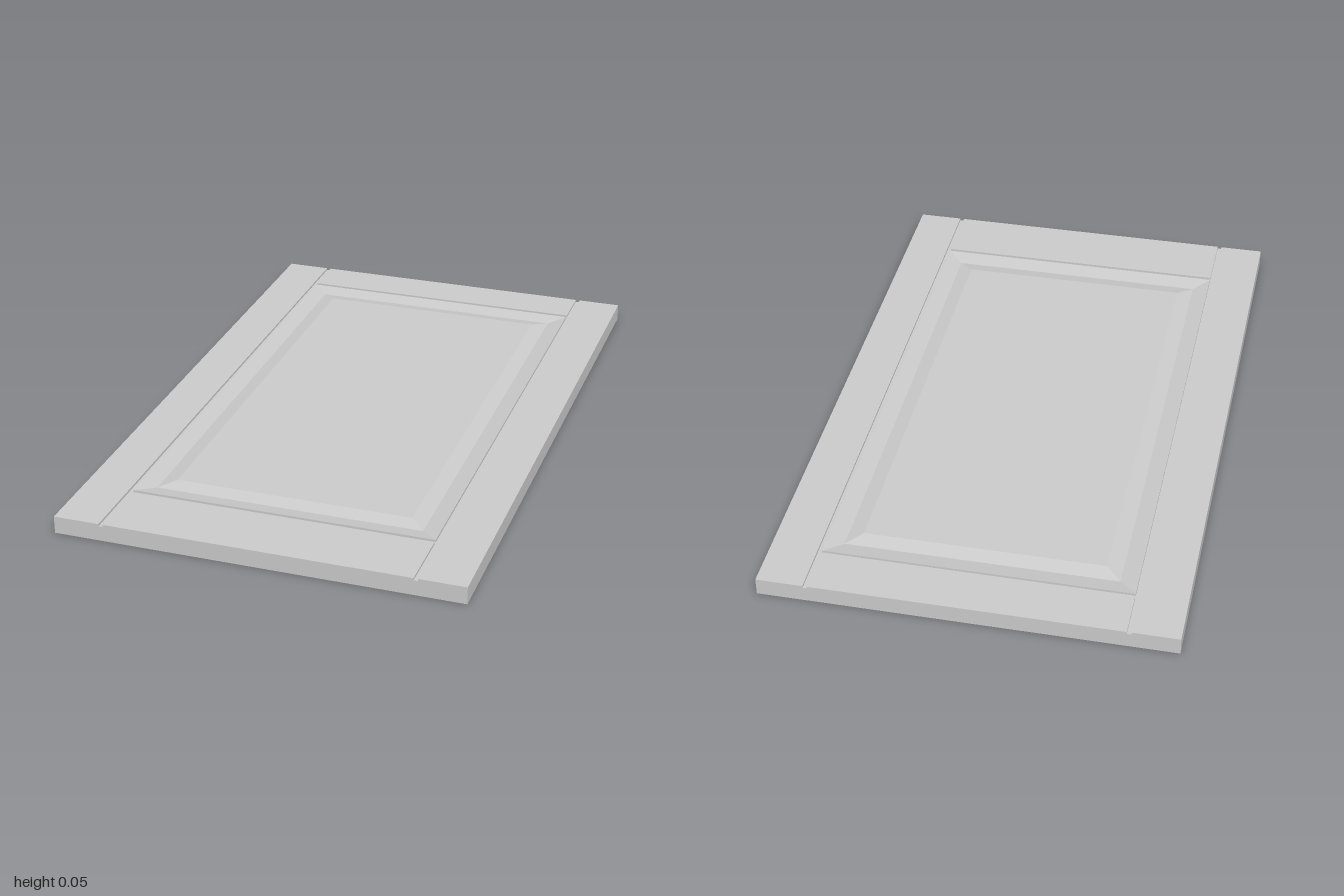
import * as THREE from 'three';

const material = new THREE.MeshStandardMaterial({ color: 0xcccccc, flatShading: true });

const HALF_W = 0.62, HALF_L = 1, TOP = 0.054;
const GROOVE = 0.013, GROOVE_FLOOR = 0.047;
// Edges of the raised panel, enclosed by the grooves
const PANEL_X = 0.466, PANEL_BACK = -0.842, PANEL_FRONT = 0.784;

export function createModel() {
  const group = new THREE.Group();
  group.name = 'cabinetDoor';

  const add = (name, geometry) => {
    const mesh = new THREE.Mesh(geometry, material);
    mesh.name = name;
    group.add(mesh);
    return mesh;
  };
  // Slab standing on y = 0 between the given x and z limits
  const slab = (name, x0, x1, z0, z1, height) =>
    add(name, new THREE.BoxGeometry(x1 - x0, height, z1 - z0))
      .position.set((x0 + x1) / 2, height / 2, (z0 + z1) / 2);

  // Stiles, with a groove running the whole length beside each
  const stileX = PANEL_X + GROOVE;
  slab('leftStile', stileX, HALF_W, -HALF_L, HALF_L, TOP);
  slab('rightStile', -HALF_W, -stileX, -HALF_L, HALF_L, TOP);
  slab('leftGroove', PANEL_X, stileX, -HALF_L, HALF_L, GROOVE_FLOOR);
  slab('rightGroove', -stileX, -PANEL_X, -HALF_L, HALF_L, GROOVE_FLOOR);

  // Rails, with a groove between each and the panel
  slab('backRail', -PANEL_X, PANEL_X, -HALF_L, PANEL_BACK - GROOVE, TOP);
  slab('frontRail', -PANEL_X, PANEL_X, PANEL_FRONT + GROOVE, HALF_L, TOP);
  slab('backGroove', -PANEL_X, PANEL_X, PANEL_BACK - GROOVE, PANEL_BACK, GROOVE_FLOOR);
  slab('frontGroove', -PANEL_X, PANEL_X, PANEL_FRONT, PANEL_FRONT + GROOVE, GROOVE_FLOOR);

  // Panel: slopes down to a mitred valley, then up to the flat field
  add('raisedPanel', panelGeometry([[0, 0], [0, TOP], [0.053, TOP - 0.01], [0.1, TOP]]));
  return group;
}

// Lofts rectangular rings, each given as [inset, height], and caps both ends
function panelGeometry(profile) {
  const rings = profile.map(([d, y]) => {
    const x = PANEL_X - d, back = PANEL_BACK + d, front = PANEL_FRONT - d;
    return [[-x, y, back], [-x, y, front], [x, y, front], [x, y, back]];
  });
  const positions = [];
  const quad = (a, b, c, d) => positions.push(...a, ...b, ...c, ...a, ...c, ...d);

  for (let r = 0; r < rings.length - 1; r++) {
    for (let i = 0; i < 4; i++) {
      const j = (i + 1) % 4;
      quad(rings[r][i], rings[r][j], rings[r + 1][j], rings[r + 1][i]);
    }
  }
  quad(...rings[rings.length - 1]);
  quad(...[...rings[0]].reverse());

  const geometry = new THREE.BufferGeometry();
  geometry.setAttribute('position', new THREE.Float32BufferAttribute(positions, 3));
  geometry.computeVertexNormals();
  return geometry;
}
